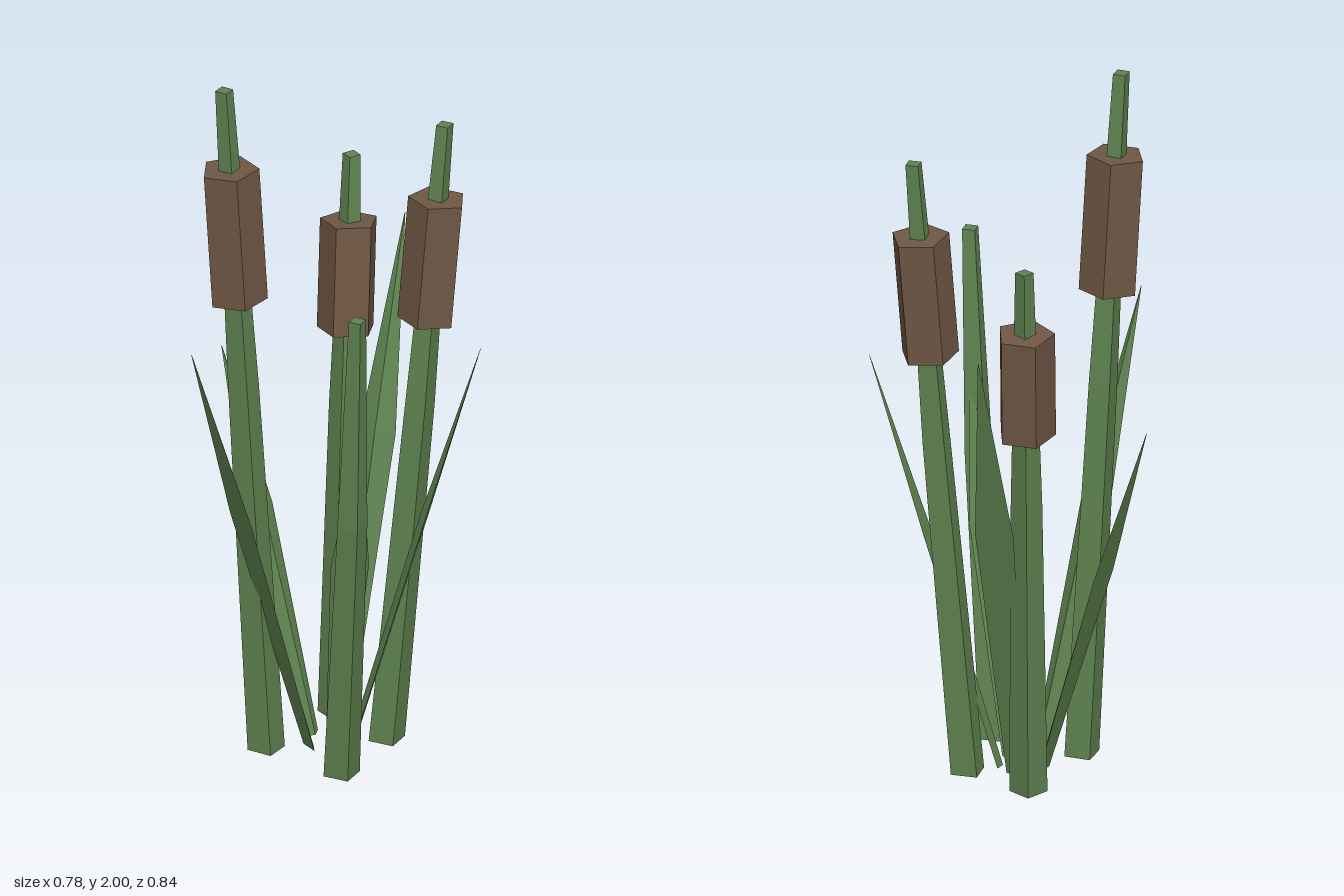
import * as THREE from 'three';

const mat = (name, color) => new THREE.MeshStandardMaterial({ name, color, flatShading: true });
const V = (x, y, z) => new THREE.Vector3(x, y, z);

// Closed solid through rings of points, each ring counter-clockwise from above
function loft(rings) {
  const pos = [];
  const tri = (...pts) => pts.forEach((p) => pos.push(p.x, p.y, p.z));
  const n = rings[0].length;
  for (let k = 0; k < rings.length - 1; k++) {
    const lo = rings[k], hi = rings[k + 1];
    for (let i = 0; i < n; i++) {
      const j = (i + 1) % n;
      tri(lo[i], lo[j], hi[j]);
      tri(lo[i], hi[j], hi[i]);
    }
  }
  const bottom = rings[0], top = rings[rings.length - 1];
  for (let i = 1; i < n - 1; i++) {
    tri(bottom[0], bottom[i + 1], bottom[i]);
    tri(top[0], top[i], top[i + 1]);
  }
  const g = new THREE.BufferGeometry();
  g.setAttribute('position', new THREE.Float32BufferAttribute(pos, 3));
  g.computeVertexNormals();
  return g;
}

// Horizontal square ring for the stems
function squareRing(c, radius, rot) {
  return [0, 1, 2, 3].map((i) => {
    const a = rot + Math.PI / 4 + i * Math.PI / 2;
    return V(c.x + radius * Math.cos(a), c.y, c.z - radius * Math.sin(a));
  });
}

// Triangular blade: flat outside, ridge on the side facing the middle of the clump
function leafGeometry([bx, bz], [tx, ty, tz]) {
  const base = V(bx, 0, bz), tip = V(tx, ty, tz);
  const d = V(tx - bx, 0, tz - bz).normalize();
  const s = V(-d.z, 0, d.x);
  const stations = [[0, 0.028, 0.015], [0.58, 0.054, 0.02], [1, 0.001, 0.001]];
  return loft(stations.map(([t, w, ridge]) => {
    const c = base.clone().lerp(tip, t);
    return [
      c.clone().addScaledVector(s, -w),
      c.clone().addScaledVector(d, -ridge),
      c.clone().addScaledVector(s, w),
    ];
  }));
}

export function createModel() {
  const group = new THREE.Group();
  const green = mat('reedGreen', 0x5f8350);
  const brown = mat('seedHeadBrown', 0x6f5744);
  const add = (name, geometry, material) => {
    const m = new THREE.Mesh(geometry, material);
    m.name = name;
    group.add(m);
    return m;
  };

  // Stems bend once on the way up; head = [bottom y, top y, turn in degrees]
  const stems = [
    { pts: [V(-0.165, 0, 0.158), V(-0.218, 1.1, 0.192), V(-0.262, 2, 0.224)], rot: -10, head: [1.365, 1.76, 180] },
    { pts: [V(-0.07, 0, -0.12), V(-0.082, 0.885, -0.21), V(-0.09, 1.61, -0.284)], rot: -35, head: [1.105, 1.42, -5] },
    { pts: [V(0.118, 0, -0.018), V(0.195, 1.0, -0.067), V(0.249, 1.835, -0.116)], rot: -5, head: [1.255, 1.615, 2] },
    { pts: [V(0.085, 0, 0.232), V(0.152, 0.8, 0.322), V(0.183, 1.445, 0.363)], rot: -5 },
  ];
  const radii = [0.052, 0.043, 0.025];
  stems.forEach(({ pts, rot, head }, i) => {
    const r = THREE.MathUtils.degToRad(rot);
    add(`stem${i + 1}`, loft(pts.map((p, k) => squareRing(p, radii[k], r))), green);
    if (!head) return;

    // Five-sided seed head threaded on the upper part of the stem
    const [y0, y1, turn] = head;
    const dir = pts[2].clone().sub(pts[1]);
    const t = ((y0 + y1) / 2 - pts[1].y) / dir.y;
    const g = new THREE.CylinderGeometry(0.082, 0.082, y1 - y0, 5);
    g.rotateY(THREE.MathUtils.degToRad(turn));
    const m = add(`seedHead${i + 1}`, g, brown);
    m.position.copy(pts[1]).addScaledVector(dir, t);
    m.quaternion.setFromUnitVectors(V(0, 1, 0), dir.normalize());
  });

  // Leaves fan out around the middle: base [x, z], tip [x, y, z]
  const leaves = [
    [[-0.017, -0.014], [0.012, 1.39, -0.42]],
    [[0.046, 0.039], [0.388, 1.22, -0.03]],
    [[-0.085, 0.028], [-0.39, 1.07, -0.08]],
    [[-0.058, 0.112], [-0.28, 1.285, 0.42]],
    [[0.02, 0.112], [0.182, 1.1, 0.342]],
  ];
  leaves.forEach(([b, t], i) => add(`leaf${i + 1}`, leafGeometry(b, t), green));

  return group;
}
